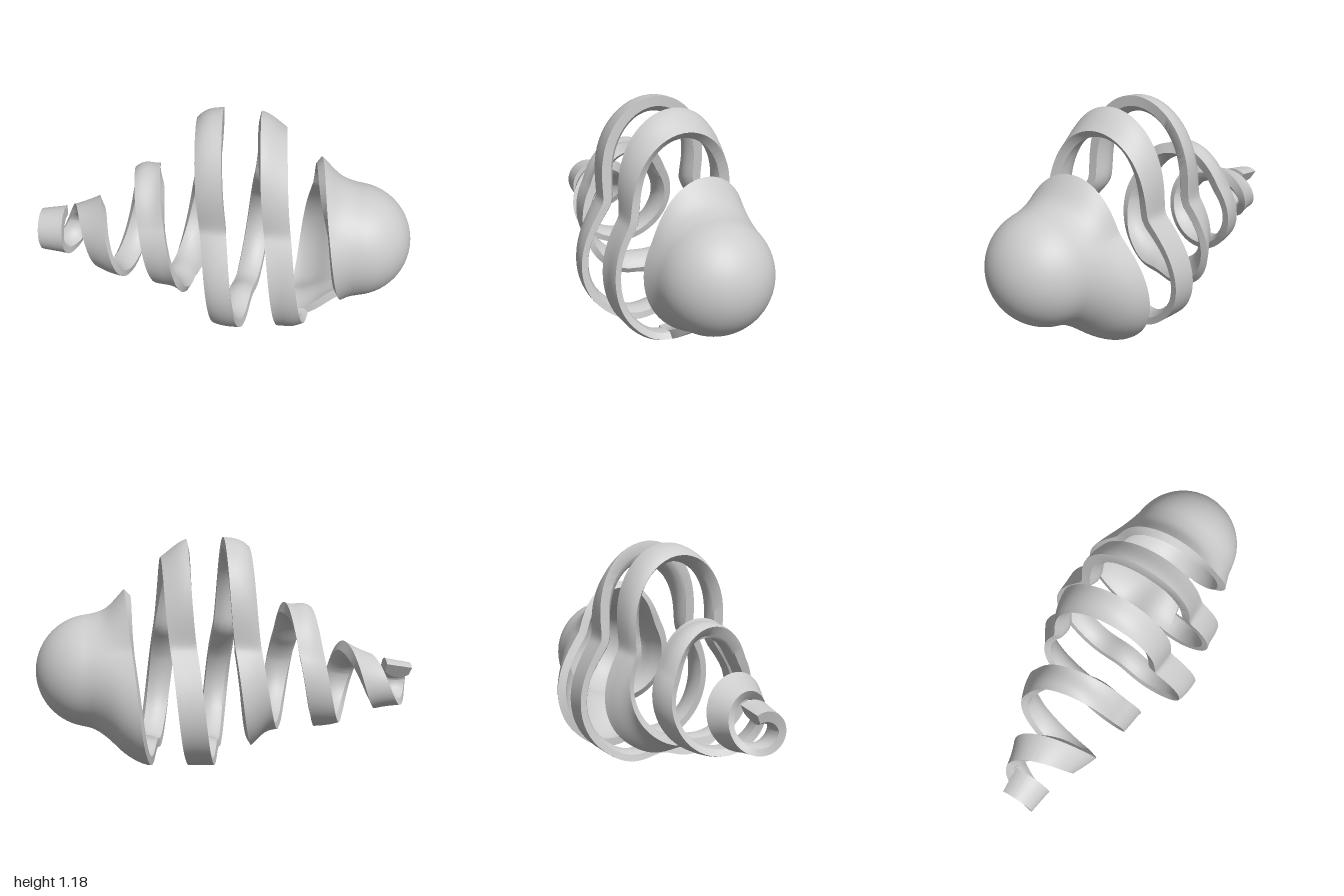
import * as THREE from 'three';
import { toCreasedNormals } from 'three/addons/utils/BufferGeometryUtils.js';

const TURN = Math.PI * 2;
const PITCH = 0.33, HALF = 0.068, SHELL = 0.045;
const BALL_X = 0.7, BALL_R = 0.3, BALL_START = 0.75;

// body sections along x: [x, centre height, round radius, top lobe, lower lobes]
const SECTIONS = [
  [-1.0, 0.39, 0.11, 0, 0], [-0.8, 0.4, 0.145, 0, 0], [-0.6, 0.41, 0.23, 0.01, 0],
  [-0.45, 0.45, 0.285, 0.08, 0], [-0.32, 0.465, 0.293, 0.075, 0.02], [-0.22, 0.47, 0.305, 0.17, 0.03],
  [-0.13, 0.47, 0.335, 0.325, 0.08],
  [0, 0.47, 0.36, 0.35, 0.145], [0.2, 0.47, 0.36, 0.34, 0.155], [0.33, 0.47, 0.36, 0.25, 0.155],
  [0.42, 0.47, 0.355, 0.18, 0.155], [0.52, 0.47, 0.335, 0.11, 0.12], [0.62, 0.47, 0.317, 0.022, 0.045],
  [0.69, 0.47, 0.304, 0.003, 0.01], [0.75, 0.47, 0.2958, 0, 0], [0.8, 0.47, 0.2828, 0, 0],
];

// smooth interpolation of one column of the sections
function sample(x, col) {
  const S = SECTIONS, n = S.length;
  let i = 0;
  while (i < n - 2 && x > S[i + 1][0]) i++;
  const slope = (k) => {
    const a = S[Math.max(k - 1, 0)], b = S[Math.min(k + 1, n - 1)];
    return (b[col] - a[col]) / (b[0] - a[0]);
  };
  const h = S[i + 1][0] - S[i][0];
  const t = THREE.MathUtils.clamp((x - S[i][0]) / h, 0, 1), t2 = t * t, t3 = t2 * t;
  return S[i][col] * (2 * t3 - 3 * t2 + 1) + S[i + 1][col] * (3 * t2 - 2 * t3)
    + h * (slope(i) * (t3 - 2 * t2 + t) + slope(i + 1) * (t3 - t2));
}

// radius of the three-lobed body; angle 0 is up, a quarter turn is the front
function radius(x, angle) {
  if (x >= BALL_START) return Math.sqrt(Math.max(0, BALL_R ** 2 - (x - BALL_X) ** 2));
  const d = Math.abs(Math.atan2(Math.sin(angle), Math.cos(angle))) * THREE.MathUtils.RAD2DEG;
  const top = d < 60 ? (0.5 + 0.5 * Math.cos(Math.PI * d / 60)) ** 0.8 : 0;
  let low = 0;
  if (d > 135) low = 0.75 + 0.25 * Math.cos(Math.PI * ((d - 135) / 45) ** 2);
  else if (d > 55) low = 0.5 - 0.5 * Math.cos(Math.PI * (d - 55) / 80);
  // the front lobe is slimmer towards the nose
  const front = Math.max(0, Math.sin(angle));
  low *= 1 - 0.45 * front ** 2 * THREE.MathUtils.smoothstep(x, 0.12, 0.35);
  return sample(x, 2) + sample(x, 3) * top + Math.max(0, sample(x, 4)) * low;
}

// point on the body, sunk inward by depth
function bodyPoint(x, angle, depth) {
  const r = radius(x, angle), c = Math.cos(angle), s = Math.sin(angle), e = 0.004;
  const p = new THREE.Vector3(x, sample(x, 1) + r * c, r * s);
  const n = new THREE.Vector3(x - BALL_X, r * c, r * s);
  if (x < BALL_START) {
    const rx = (radius(x + e, angle) - radius(x - e, angle)) / (2 * e);
    const ra = (radius(x, angle + e) - radius(x, angle - e)) / (2 * e * r);
    n.set(-rx, c + ra * s, s - ra * c);
  }
  return p.addScaledVector(n.normalize(), -depth);
}

// sweep a closed cross-section (outer half, then inner half) around the body
function sweep(section, from, to, steps) {
  const pos = [], index = [];
  let n = 0;
  for (let i = 0; i <= steps; i++) {
    const a = from + (to - from) * i / steps;
    const loop = section(a);
    n = loop.length;
    for (const [x, depth] of loop) pos.push(...bodyPoint(x, a, depth).toArray());
  }
  for (let i = 0; i < steps; i++) {
    for (let j = 0; j < n; j++) {
      const k = (j + 1) % n, a = i * n, b = a + n;
      index.push(a + j, b + j, a + k, b + j, b + k, a + k);
    }
  }
  // end caps
  const last = steps * n;
  for (let j = 0; j < n / 2 - 1; j++) {
    const q = [j, j + 1, n - 1 - j, j + 1, n - 2 - j, n - 1 - j];
    index.push(...q, ...q.reverse().map((v) => v + last));
  }
  const g = new THREE.BufferGeometry();
  g.setAttribute('position', new THREE.Float32BufferAttribute(pos, 3));
  g.setIndex(index);
  return toCreasedNormals(g, 0.75);
}

// band centre line, easing to a stop at the small end
function middle(a) {
  const x = -0.065 + PITCH * a / TURN;
  return x > -0.88 ? x : -0.88 - 0.05 * (1 - Math.exp((x + 0.88) / 0.05));
}

// band with a domed inside, thickest along its crests
function bandSection(a) {
  const m = middle(a), outer = [], inner = [];
  const thick = 0.055 + 0.03 * Math.max(0, Math.cos(a));
  for (let j = 0; j <= 8; j++) {
    const u = j / 4 - 1;
    outer.push([m + u * HALF, 0]);
    inner.unshift([m + u * HALF * 0.93, thick * (1 - 0.35 * u * u)]);
  }
  return [...outer, ...inner];
}

// shell from the band's left edge to the tip
function noseSection(a) {
  const left = middle(a) - HALF, tip = BALL_X + BALL_R, outer = [], inner = [];
  for (let j = 0; j <= 40; j++) {
    const x = left + (tip - left) * Math.sin(j / 40 * Math.PI / 2);
    outer.push([x, 0]);
    inner.unshift([x, SHELL]);
  }
  return [...outer, ...inner];
}

export function createModel() {
  const group = new THREE.Group();
  group.name = 'spiralPeel';
  const material = new THREE.MeshStandardMaterial({ color: 0xcccccc, side: THREE.DoubleSide });
  const join = TURN * (1 + 165 / 360);

  const band = new THREE.Mesh(sweep(bandSection, -3.08 * TURN, join, 550), material);
  band.name = 'spiralBand';
  const nose = new THREE.Mesh(sweep(noseSection, join, join + TURN, 160), material);
  nose.name = 'roundedNose';
  group.add(band, nose);

  // rest on the ground
  const lift = -new THREE.Box3().setFromObject(group).min.y;
  band.position.y = nose.position.y = lift;
  return group;
}
